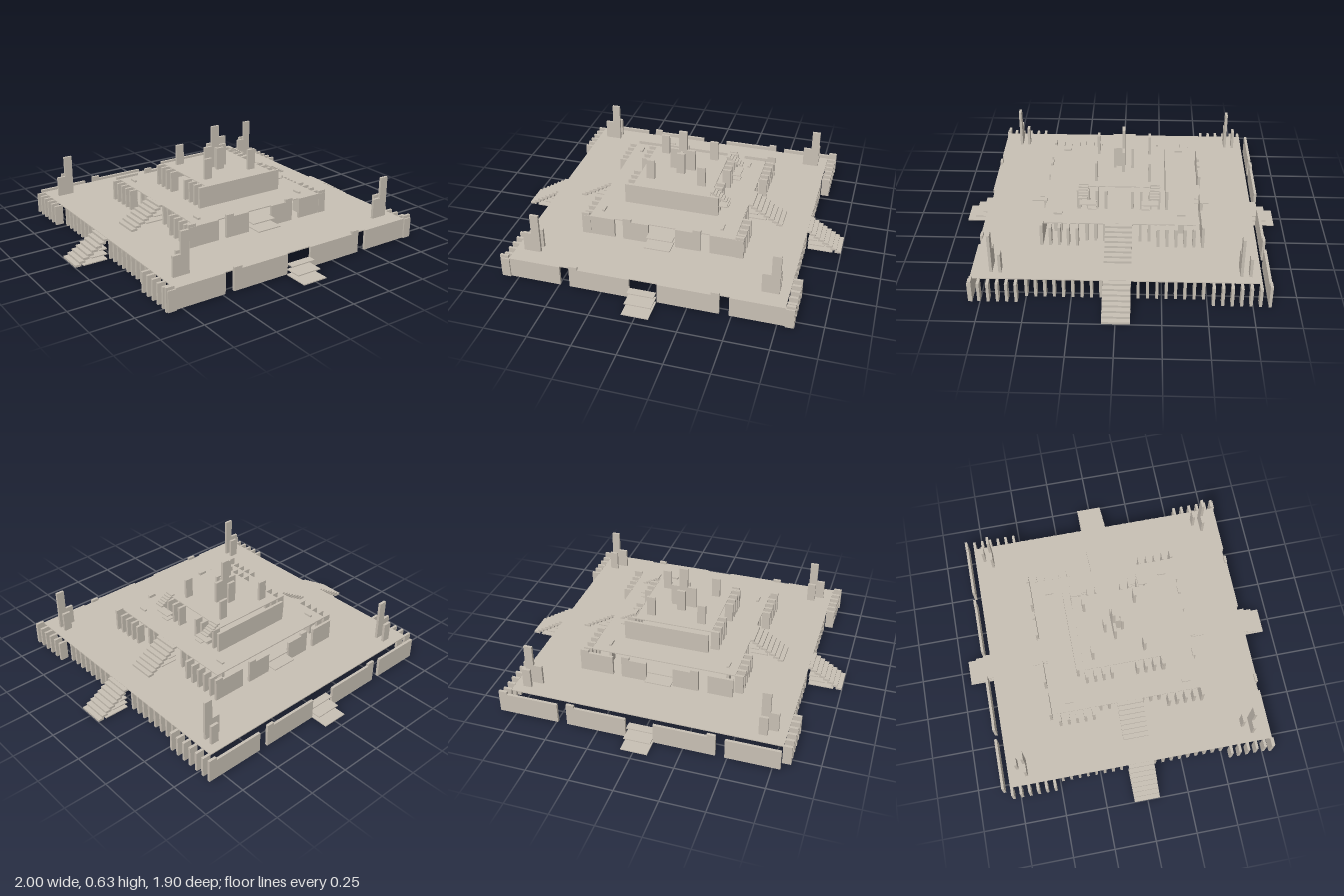
import * as THREE from 'three';

export function createModel() {
  const model = new THREE.Group();
  const stone = new THREE.MeshStandardMaterial({ color: 0xc8c0b4, flatShading: true });

  function group(name, parent = model) {
    const g = new THREE.Group();
    g.name = name;
    parent.add(g);
    return g;
  }
  // Box given by its limits on each axis
  function box(parent, name, x0, x1, y0, y1, z0, z1) {
    const m = new THREE.Mesh(new THREE.BoxGeometry(x1 - x0, y1 - y0, z1 - z0), stone);
    m.position.set((x0 + x1) / 2, (y0 + y1) / 2, (z0 + z1) / 2);
    m.name = name;
    parent.add(m);
    return m;
  }
  const T = 0.016; // thickness of upright slabs
  const P = 0.006; // thickness of sheets

  // Terraces: floor plate, rows of side fins; middle fins sit under the floor edge
  const tiers = [
    { name: 'lowerTerrace', y0: 0.008, y1: 0.13, half: 0.795, z0: -0.79, n: 32, inset: 0.51, gap: 0.08 },
    { name: 'middleTerrace', y0: 0.13, y1: 0.252, half: 0.435, z0: -0.435, n: 18, inset: 0.21, gap: 0.08 },
    { name: 'upperTerrace', y0: 0.252, y1: 0.376, half: 0.235, z0: -0.232, n: 10, inset: 0.06, gap: 0.06 },
  ];
  const terraces = tiers.map((t) => {
    const g = group(t.name);
    box(g, 'floor', -t.half, t.half - 0.004, t.y1 - P, t.y1, t.z0 - 0.008, t.half);
    for (let k = 0; k < t.n; k++) {
      const z = t.z0 + 0.0515 * k;
      if (Math.abs(z) < t.gap) continue;
      const inner = Math.abs(z) < t.inset ? t.half - 0.052 : t.half - 0.002;
      for (const s of [-1, 1]) {
        const a = s * inner, b = s * (inner + 0.05);
        box(g, 'sideFin', Math.min(a, b), Math.max(a, b), t.y0, t.y1 - 0.001, z - T / 2, z + T / 2);
      }
    }
    return g;
  });

  // Wall made of panels in x, with raised merlons
  function wall(g, name, z, y0, y1, panels, merlons) {
    const w = group(name, g);
    for (const [a, b] of panels) box(w, 'panel', a, b, y0, y1, z - T / 2, z + T / 2);
    for (const [a, b] of merlons) box(w, 'merlon', a, b, y1, y1 + 0.016, z - T / 2, z + T / 2);
  }
  wall(terraces[0], 'frontWall', 0.798, 0.008, 0.13,
    [[-0.85, -0.49], [-0.435, -0.08], [0.08, 0.432], [0.487, 0.845]],
    [[-0.85, -0.8], [-0.435, -0.385], [0.385, 0.432], [0.795, 0.845]]);
  wall(terraces[0], 'backWall', -0.842, 0.008, 0.13,
    [[-0.795, -0.487], [-0.435, -0.08], [0.08, 0.432], [0.487, 0.845]],
    [[-0.435, -0.385], [0.385, 0.432], [0.795, 0.845]]);
  wall(terraces[1], 'frontWall', 0.438, 0.13, 0.252,
    [[-0.487, -0.287], [-0.235, -0.08], [0.08, 0.232], [0.285, 0.485]],
    [[-0.487, -0.44], [-0.235, -0.185], [0.185, 0.232], [0.435, 0.485]]);
  wall(terraces[1], 'backWall', -0.485, 0.13, 0.252,
    [[-0.435, -0.287], [-0.232, -0.08], [0.08, 0.232], [0.285, 0.485]],
    [[-0.232, -0.185], [0.185, 0.232], [0.435, 0.485]]);
  wall(terraces[2], 'frontWall', 0.238, 0.252, 0.376, [[-0.285, 0.283]], []);
  wall(terraces[2], 'backWall', -0.278, 0.252, 0.376, [[-0.23, 0.283]], []);

  // Open landings on all four sides: [height, inner edge, outer edge]
  const landings = group('landings');
  const sheets = [
    [0.003, 0.8, 0.95], [0.035, 0.8, 0.898], [0.068, 0.8, 0.848],
    [0.16, 0.436, 0.54], [0.19, 0.436, 0.488],
  ];
  for (const [y, a, b] of sheets) {
    for (const s of [-1, 1]) {
      const lo = Math.min(s * a, s * b), hi = Math.max(s * a, s * b);
      box(landings, 'frontLanding', -0.08, 0.075, y - 0.003, y + 0.003, lo, hi);
      box(landings, 'sideLanding', lo, hi, y - 0.003, y + 0.003, -0.08, 0.075);
    }
  }

  // Side stairs of overlapping treads, mirrored left and right
  const stairs = group('sideStairs');
  function flight(xTop, xFoot, yFoot, yTop, n) {
    const run = (xFoot - xTop) / n, rise = (yTop - yFoot) / n;
    for (let i = 0; i < n; i++) {
      const x1 = xFoot - i * run, x0 = x1 - run * 1.4, y = yFoot + i * rise;
      for (const s of [-1, 1]) {
        box(stairs, 'tread', Math.min(s * x0, s * x1), Math.max(s * x0, s * x1), y, y + rise * 0.85, -0.08, 0.075);
      }
    }
  }
  flight(0.79, 1.0, 0.002, 0.13, 8);
  flight(0.43, 0.64, 0.13, 0.254, 8);

  // Two small stairs on the left edge of the upper terrace
  const small = group('smallStairs');
  for (const s of [-1, 1]) {
    const span = (a, b) => [Math.min(s * a, s * b), Math.max(s * a, s * b)];
    for (let i = 0; i < 6; i++) {
      const x = 0.23 + i * 0.0155, y = 0.395 - i * 0.009;
      box(small, 'tread', x, x + 0.0225, y, y + 0.008, ...span(0.18, 0.235));
    }
    box(small, 'landing', 0.28, 0.33, 0.307, 0.313, ...span(0.13, 0.23));
    box(small, 'landing', 0.28, 0.33, 0.277, 0.283, ...span(0.13, 0.18));
  }

  // Corner towers: a stepped slab and a lower slab beside it
  for (const [x, z, zLow] of [[-0.695, 0.695, 0.645], [0.69, 0.695, 0.645], [-0.695, -0.688, -0.738], [0.69, -0.688, -0.738]]) {
    const g = group('cornerTower');
    box(g, 'wideSlab', x - 0.05, x + 0.05, 0.13, 0.25, z - T / 2, z + T / 2);
    box(g, 'tallSlab', x, x + 0.05, 0.25, 0.376, z - T / 2, z + T / 2);
    box(g, 'lowSlab', x, x + 0.05, 0.13, 0.25, zLow - T / 2, zLow + T / 2);
  }

  // Posts through the lower floors, and posts standing on the top floor
  const posts = group('posts');
  for (const x of [-0.377, 0.34]) {
    for (const z of [-0.363, 0.355]) box(posts, 'floorPost', x - T / 2, x + T / 2, 0.008, 0.263, z - 0.025, z + 0.025);
  }
  for (const x of [-0.157, 0.153]) {
    for (const z of [-0.175, 0.137]) box(posts, 'topPost', x - 0.025, x + 0.025, 0.376, 0.5, z - T / 2, z + T / 2);
  }

  // Central tower
  const tower = group('centralTower');
  box(tower, 'wideSlab', -0.08, 0.075, 0.376, 0.51, -0.028, -0.012);
  box(tower, 'spire', -0.026, 0.024, 0.51, 0.632, -0.028, -0.012);
  box(tower, 'rib', -0.013, 0.003, 0.376, 0.5, -0.012, 0.028);
  for (const z of [-0.073, 0.032]) box(tower, 'post', -0.026, 0.024, 0.376, 0.51, z - T / 2, z + T / 2);

  // Crossed base plates at ground level
  const base = group('basePlates');
  box(base, 'plate', -0.13, 0.125, 0, 0.005, -0.08, 0.075);
  box(base, 'plate', -0.08, 0.075, 0, 0.004, -0.13, 0.125);

  return model;
}
